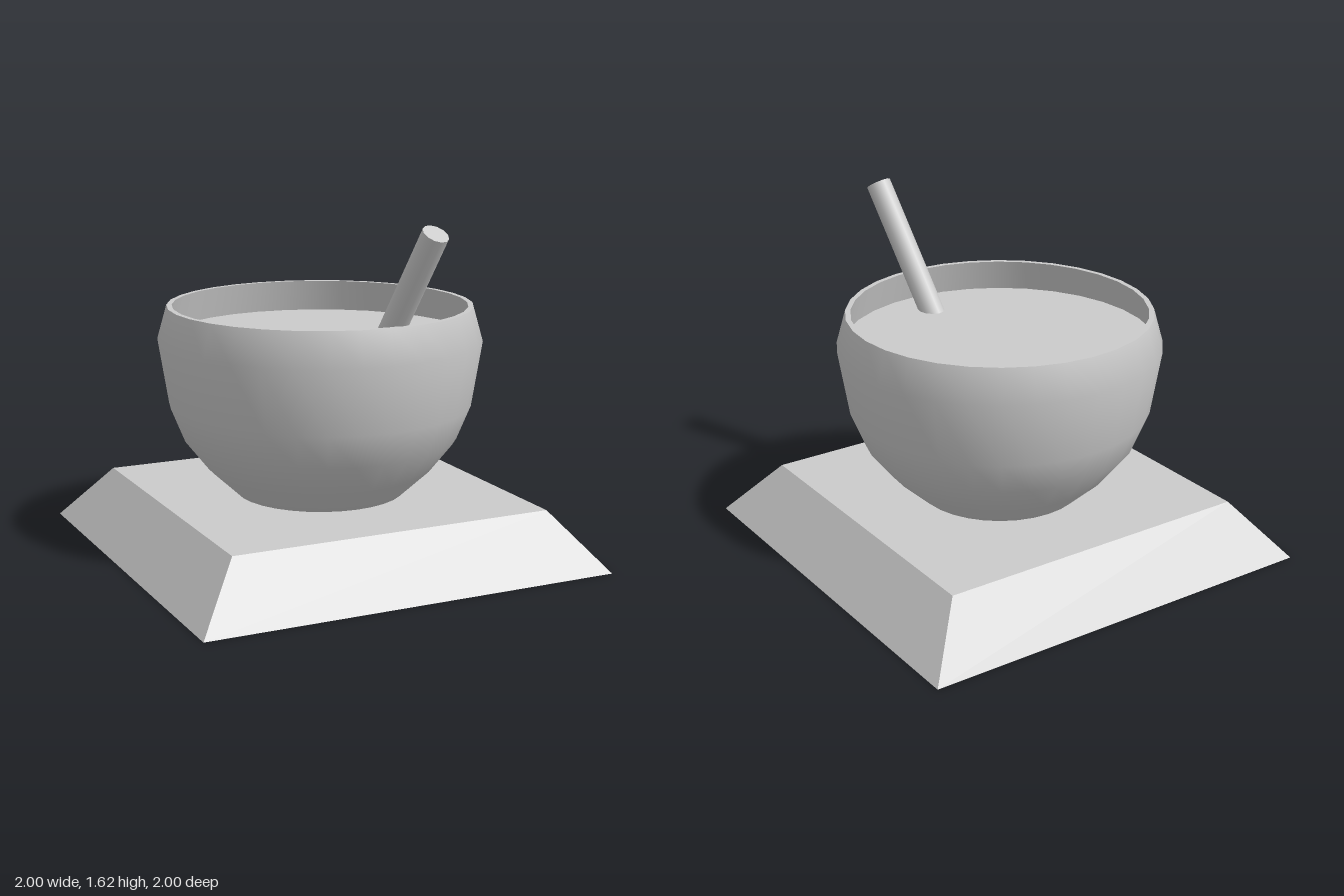
import * as THREE from 'three';

const SEGMENTS = 32;
const grey = (options = {}) => new THREE.MeshStandardMaterial({ color: 0xcccccc, ...options });

function part(name, geometry, material) {
  const mesh = new THREE.Mesh(geometry, material);
  mesh.name = name;
  return mesh;
}

// Surface of revolution from [radius, height] pairs
function lathe(name, profile) {
  const points = profile.map(([r, y]) => new THREE.Vector2(r, y));
  return part(name, new THREE.LatheGeometry(points, SEGMENTS), grey({ side: THREE.DoubleSide }));
}

// Hollow square plinth: sloping sides and a flat top, open underneath
function createBase() {
  const base = new THREE.Group();
  base.name = 'base';
  const height = 0.27, top = 0.78;
  const sides = new THREE.CylinderGeometry(top * Math.SQRT2, Math.SQRT2, height, 4, 1, true);
  sides.rotateY(Math.PI / 4).translate(0, height / 2, 0);
  base.add(part('baseSides', sides, grey({ flatShading: true, side: THREE.DoubleSide })));
  const plate = new THREE.PlaneGeometry(top * 2, top * 2);
  plate.rotateX(-Math.PI / 2).translate(0, height, 0);
  base.add(part('baseTop', plate, grey({ side: THREE.DoubleSide })));
  return base;
}

// Bowl: rounded outer wall, flat foot, thin rim, inner wall and the surface of its contents
function createBowl() {
  const bowl = new THREE.Group();
  bowl.name = 'bowl';
  bowl.add(
    lathe('bowlOuterWall', [[0.375, 0.25], [0.4, 0.27], [0.54, 0.4], [0.65, 0.54], [0.715, 0.7], [0.765, 1.01], [0.72, 1.17]]),
    lathe('bowlRim', [[0.72, 1.17], [0.695, 1.17]]),
    lathe('bowlInnerWall', [[0.695, 1.17], [0.738, 1.01]]),
  );
  const foot = new THREE.CircleGeometry(0.375, SEGMENTS);
  foot.rotateX(Math.PI / 2).translate(0, 0.25, 0);
  const fill = new THREE.CircleGeometry(0.738, SEGMENTS);
  fill.rotateX(-Math.PI / 2).translate(0, 1.015, 0);
  bowl.add(part('bowlFoot', foot, grey()), part('contents', fill, grey()));
  return bowl;
}

// Round stick leaning forward out of the contents
function createStick() {
  const low = new THREE.Vector3(-0.03, 0.5, 0.23);
  const high = new THREE.Vector3(0.12, 1.59, 0.88);
  const along = high.clone().sub(low);
  const stick = part('stick', new THREE.CylinderGeometry(0.06, 0.06, along.length(), 12), grey());
  stick.position.copy(low).add(high).multiplyScalar(0.5);
  stick.quaternion.setFromUnitVectors(new THREE.Vector3(0, 1, 0), along.normalize());
  return stick;
}

export function createModel() {
  const model = new THREE.Group();
  model.name = 'bowlOnBase';
  model.add(createBase(), createBowl(), createStick());
  return model;
}
